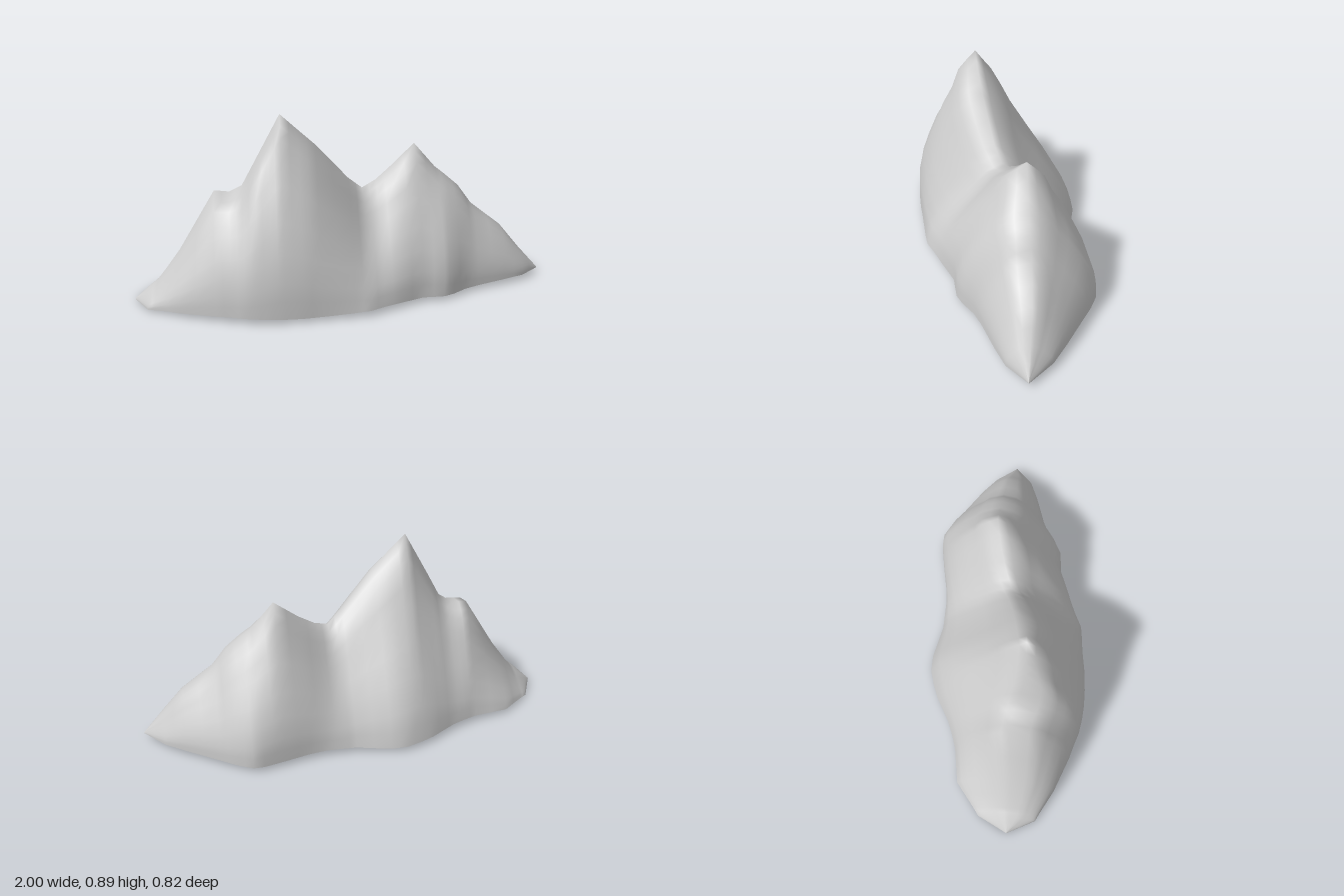
import * as THREE from 'three';

const { lerp, smoothstep } = THREE.MathUtils;

// Stations along the ridge: x, ridge height, ridge z, front foot z, back foot z
const STATIONS = [
  [-1, 0.01, 0.075, 0.075, 0.075],
  [-0.93, 0.07, 0.08, 0.21, -0.07],
  [-0.89, 0.1, 0.08, 0.23, -0.1],
  [-0.78, 0.25, 0.08, 0.29, -0.19],
  [-0.61, 0.525, 0.05, 0.355, -0.22],
  [-0.54, 0.52, 0.06, 0.375, -0.245],
  [-0.48, 0.555, 0.08, 0.395, -0.27],
  [-0.42, 0.67, 0.1, 0.405, -0.305],
  [-0.36, 0.78, 0.1, 0.41, -0.34],
  [-0.3, 0.89, 0.1, 0.41, -0.365],
  [-0.22, 0.815, 0.09, 0.405, -0.39],
  [-0.14, 0.74, 0.075, 0.395, -0.39],
  [0.02, 0.56, 0.03, 0.38, -0.355],
  [0.09, 0.5, 0, 0.37, -0.355],
  [0.16, 0.53, -0.03, 0.335, -0.355],
  [0.24, 0.59, -0.06, 0.3, -0.365],
  [0.355, 0.69, -0.09, 0.245, -0.39],
  [0.46, 0.57, -0.09, 0.235, -0.41],
  [0.51, 0.53, -0.09, 0.21, -0.41],
  [0.58, 0.47, -0.09, 0.16, -0.375],
  [0.65, 0.375, -0.09, 0.13, -0.33],
  [0.8, 0.26, -0.08, 0.08, -0.235],
  [0.9, 0.14, -0.065, 0.04, -0.165],
  [1, 0.03, -0.05, -0.05, -0.05],
];
const PEAKS = [-0.3, 0.355];

// Flank profiles: how far out the slope is at each level from ridge to foot
const LEVEL = [1, 0.95, 0.89, 0.78, 0.68, 0.5, 0.35, 0.2, 0.1, 0];
const STEEP = [0, 0.13, 0.27, 0.38, 0.53, 0.73, 0.88, 0.97, 0.99, 1];
const GENTLE = [0, 0.07, 0.16, 0.27, 0.36, 0.56, 0.73, 0.88, 0.95, 1];

// Halve every span between stations
function refine(rows) {
  return rows.flatMap((row, i) => i === 0 ? [row]
    : [row.map((v, k) => (v + rows[i - 1][k]) / 2), row]);
}

// Soften a list of numbers, keeping both ends
function soften(list) {
  return list.map((v, i) => i === 0 || i === list.length - 1 ? v
    : (list[i - 1] + 2 * v + list[i + 1]) / 4);
}

// One cross-section from the back foot over the ridge to the front foot
function crossSection([x, ridgeY, ridgeZ, frontZ, backZ], softY) {
  const foot = Math.min(ridgeY, x < -0.8 ? 0.02 * (x + 1) / 0.2 : 0.022 + 0.004 * Math.sin(9 * x));
  const toRight = smoothstep(x, -0.1, 0.3);
  const gully = 0.7 * Math.exp(-(((x - 0.12) / 0.15) ** 2));
  // Sections are pointed at the peaks and rounder away from them
  const offPeak = smoothstep(Math.min(...PEAKS.map((p) => Math.abs(x - p))), 0, 0.15);
  const west = 1 - smoothstep(x, -0.5, -0.25);
  const east = smoothstep(x, 0.4, 0.7);
  const frontRound = offPeak * (1 - gully) * (0.2 + 0.22 * west + 0.2 * east);
  const backRound = offPeak * (0.06 + 0.16 * west);

  const point = (i, side) => {
    const level = LEVEL[i];
    const y = foot + (lerp(softY, ridgeY, level) - foot) * level;
    const gentle = side > 0 ? gully : 1 - toRight;
    const power = 1 - (side > 0 ? frontRound : backRound);
    const out = lerp(STEEP[i], GENTLE[i], gentle) ** power;
    return [x, y, lerp(ridgeZ, side > 0 ? frontZ : backZ, out)];
  };
  const section = [];
  for (let i = LEVEL.length - 1; i > 0; i--) section.push(point(i, -1));
  for (let i = 0; i < LEVEL.length; i++) section.push(point(i, 1));
  return section;
}

export function createModel() {
  const group = new THREE.Group();
  group.name = 'mountain';

  const rows = refine(STATIONS);
  let heights = rows.map((row) => row[1]);
  for (let k = 0; k < 2; k++) heights = soften(heights);
  const sections = rows.map((row, i) => crossSection(row, heights[i]));

  const n = sections[0].length;
  const index = [];
  for (let s = 0; s < sections.length - 1; s++) {
    for (let j = 0; j < n - 1; j++) {
      const a = s * n + j, b = a + 1, c = a + n, d = c + 1;
      index.push(a, b, c, b, d, c);
    }
  }
  const geometry = new THREE.BufferGeometry();
  geometry.setAttribute('position', new THREE.Float32BufferAttribute(sections.flat(2), 3));
  geometry.setIndex(index);
  geometry.computeVertexNormals();

  // Open shell, hollow underneath
  const rock = new THREE.Mesh(geometry,
    new THREE.MeshStandardMaterial({ color: 0xcccccc, side: THREE.DoubleSide }));
  rock.name = 'mountainShell';
  group.add(rock);
  return group;
}
